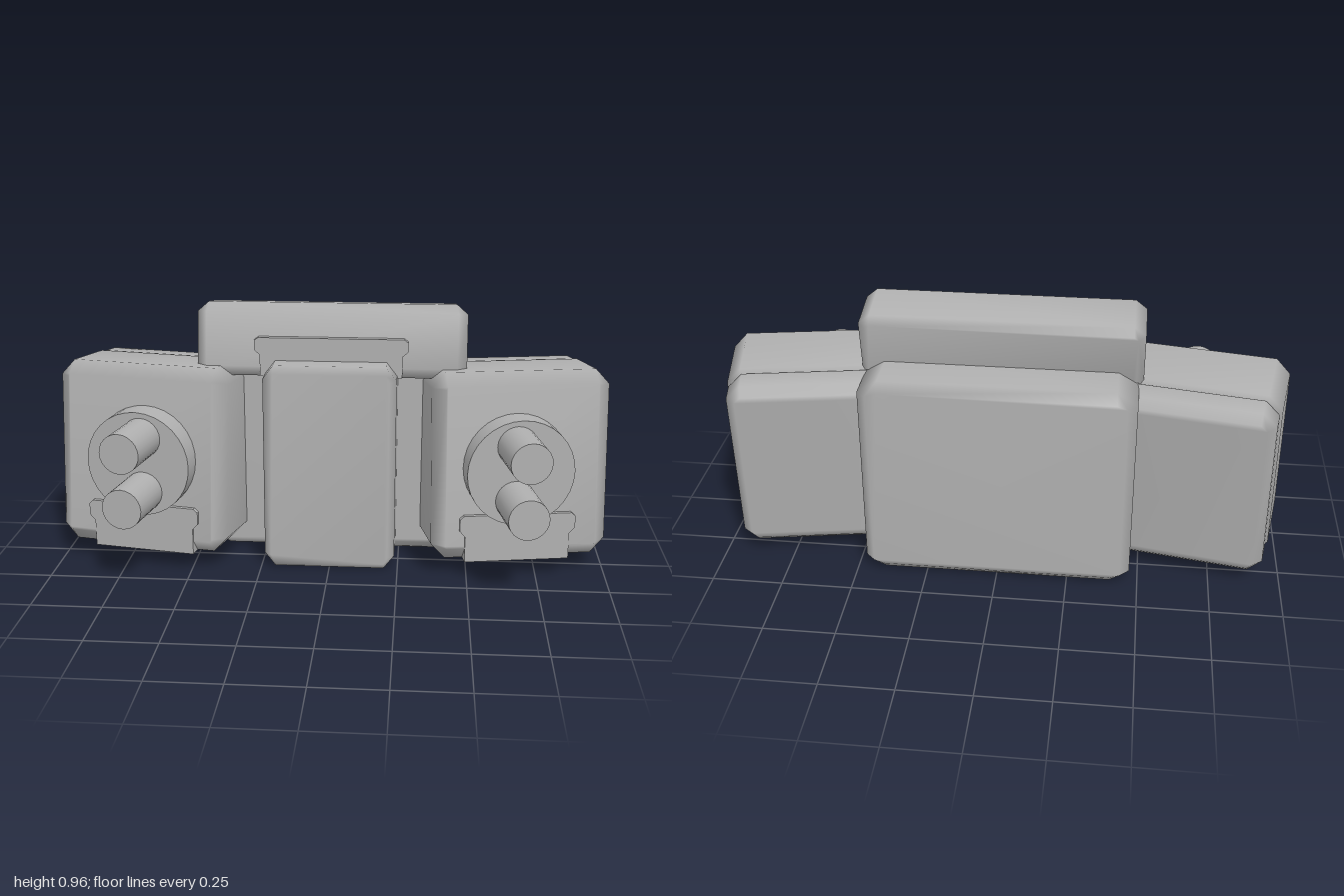
import * as THREE from 'three';
import { ConvexGeometry } from 'three/addons/geometries/ConvexGeometry.js';
import { mergeVertices } from 'three/addons/utils/BufferGeometryUtils.js';

const RAD = Math.PI / 180;
const grey = new THREE.MeshStandardMaterial({ color: 0xb0b0b0 });
grey.name = 'plain grey';

function add(parent, name, geometry, x, y, z) {
  const mesh = new THREE.Mesh(geometry, grey);
  mesh.name = name;
  mesh.position.set(x, y, z);
  parent.add(mesh);
  return mesh;
}

// Box with softened cut edges: bx, by cut the four corners seen from the front,
// front and back cut the rims of the front and back faces
function chamferBox(w, h, d, bx, by, front, back) {
  const points = [];
  for (const sx of [-1, 1]) for (const sy of [-1, 1]) for (const sz of [-1, 1]) {
    const c = sz > 0 ? front : back;
    const p = (cx, cy, cz) => points.push(new THREE.Vector3(sx * (w / 2 - cx), sy * (h / 2 - cy), sz * (d / 2 - cz)));
    p(0, by, c);
    p(bx, 0, c);
    p(Math.min(c, bx), by, 0);
    p(bx, Math.min(c, by), 0);
  }
  const hull = new ConvexGeometry(points);
  hull.deleteAttribute('normal');
  const smooth = mergeVertices(hull, 1e-4);
  smooth.computeVertexNormals();
  return smooth;
}

// Thin clip: wide lip on top, narrower tab below
function clipPlate(halfWidth, height, depth) {
  const w = halfWidth, n = halfWidth - 0.02, h = height / 2;
  const half = [[n, -h], [n, h * 0.1], [w, h * 0.35], [w, h * 0.85], [w - 0.015, h]];
  const outline = [...half, ...half.map(([x, y]) => [-x, y]).reverse()];
  const shape = new THREE.Shape(outline.map(([x, y]) => new THREE.Vector2(x, y)));
  return new THREE.ExtrudeGeometry(shape, { depth, bevelEnabled: false });
}

// Side pouch turned outward, with its clip, round knob and two pegs
function createPod(side) {
  const pod = new THREE.Group();
  pod.name = side > 0 ? 'leftPod' : 'rightPod';
  pod.rotation.y = side * 10 * RAD;
  pod.position.set(side * 0.662, 0, -0.045);

  // The two-part body leans back; everything else stays upright
  const body = new THREE.Group();
  body.name = 'podBody';
  body.rotation.x = -5.3 * RAD;
  body.position.y = 0.394;
  pod.add(body);
  add(body, 'podFront', chamferBox(0.64, 0.678, 0.3, 0.05, 0.055, 0.045, 0.018), 0, 0, 0);
  add(body, 'podBack', chamferBox(0.625, 0.672, 0.122, 0.05, 0.05, 0.015, 0.03), 0, 0, -0.206);

  add(pod, 'podClip', clipPlate(0.21, 0.175, 0.06), -side * 0.015, 0.152, 0.12);

  add(pod, 'disc', new THREE.CylinderGeometry(0.192, 0.192, 0.13, 32).rotateX(Math.PI / 2), -side * 0.022, 0.41, 0.159);
  for (const y of [0.31, 0.51]) {
    add(pod, 'peg', new THREE.CylinderGeometry(0.072, 0.072, 0.24, 24).rotateX(Math.PI / 2), -side * 0.039, y, 0.299);
  }
  return pod;
}

export function createModel() {
  const model = new THREE.Group();
  model.name = 'beltPack';

  // Central blocks
  add(model, 'centreFront', chamferBox(0.475, 0.76, 0.26, 0.038, 0.05, 0.025, 0.02), 0, 0.38, -0.01);
  add(model, 'centreBack', chamferBox(0.94, 0.755, 0.3, 0.07, 0.045, 0.032, 0.032), 0, 0.378, -0.238);

  // Bar across the top, leaning back, with an upright clip
  const bar = add(model, 'topBar', chamferBox(0.97, 0.265, 0.222, 0.04, 0.035, 0.035, 0.025), 0, 0.813, -0.109);
  bar.rotation.x = -10 * RAD;
  add(model, 'barClip', clipPlate(0.275, 0.14, 0.06), 0, 0.773, -0.038);

  for (const side of [-1, 1]) model.add(createPod(side));
  return model;
}
